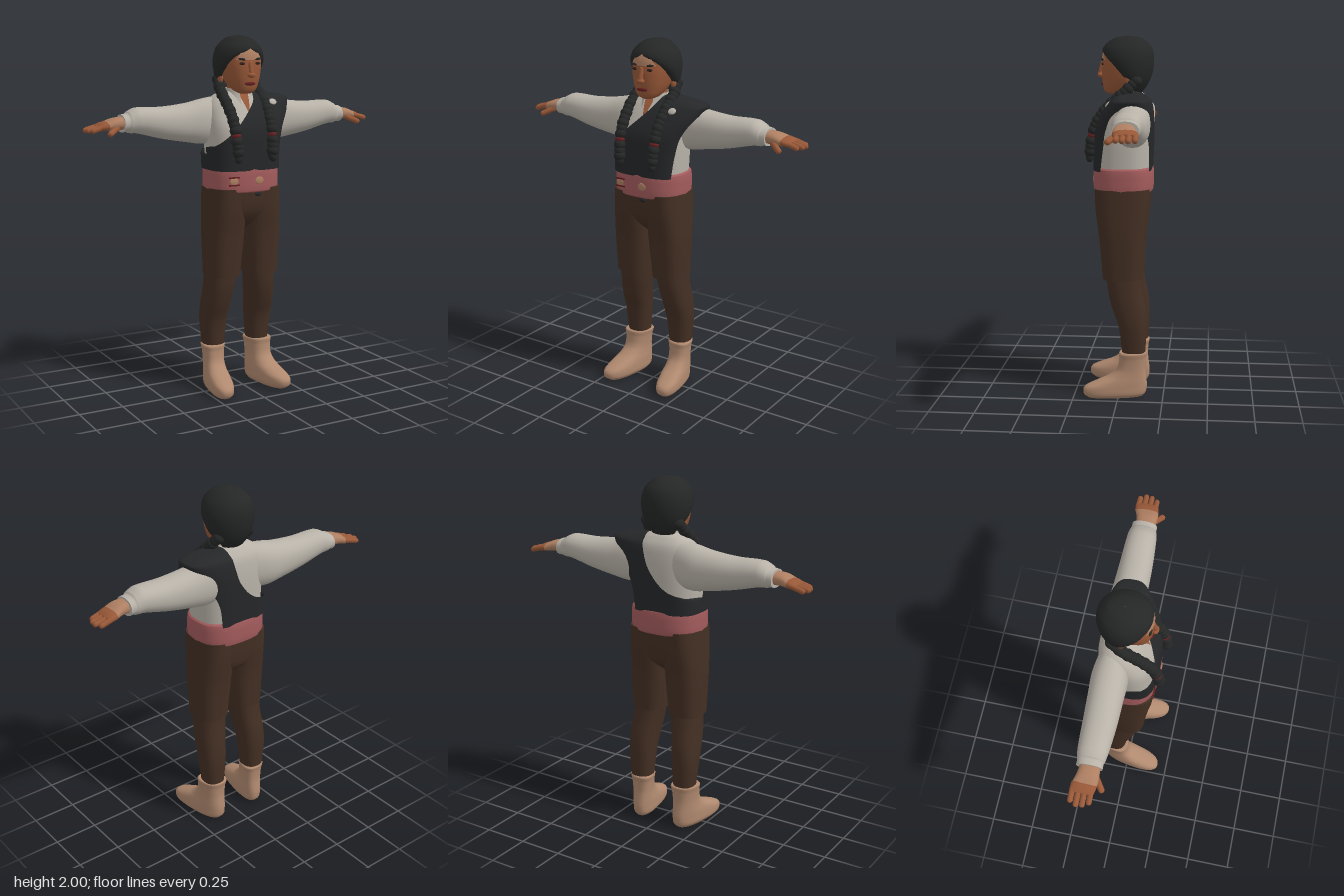
import * as THREE from 'three';

const mat = (name, color, side = THREE.FrontSide) => {
  const m = new THREE.MeshStandardMaterial({ color, side });
  m.name = name;
  return m;
};

// smooth interpolation of key rows [t, a, b, ...]
function at(K, t) {
  let i = 0;
  while (i < K.length - 2 && t > K[i + 1][0]) i++;
  const a = K[i], b = K[i + 1], h = b[0] - a[0];
  const s = Math.min(1, Math.max(0, (t - a[0]) / h));
  const p = K[i - 1] || a, q = K[i + 2] || b;
  return a.map((_, k) => {
    const m0 = h * (b[k] - p[k]) / (b[0] - p[0]), m1 = h * (q[k] - a[k]) / (q[0] - a[0]);
    const s2 = s * s, s3 = s2 * s;
    return (2 * s3 - 3 * s2 + 1) * a[k] + (s3 - 2 * s2 + s) * m0 + (3 * s2 - 2 * s3) * b[k] + (s3 - s2) * m1;
  });
}

// grid surface; u runs around, v runs upward
function grid(nu, nv, fn, closed = false, caps = false) {
  const pos = [], idx = [], cols = closed ? nu : nu + 1;
  for (let j = 0; j <= nv; j++) for (let i = 0; i < cols; i++) pos.push(...fn(i / nu, j / nv));
  for (let j = 0; j < nv; j++) for (let i = 0; i < nu; i++) {
    const k = (i + 1) % cols, a = j * cols + i, b = j * cols + k;
    idx.push(a, b, b + cols, a, b + cols, a + cols);
  }
  if (caps) for (const j of [0, nv]) {
    const s = pos.length / 3, c = [0, 0, 0];
    for (let i = 0; i < cols; i++) {
      const p = fn(i / nu, j / nv);
      pos.push(...p);
      p.forEach((v, k) => { c[k] += v / cols; });
    }
    pos.push(...c);
    for (let i = 0; i < cols; i++) {
      const k = (i + 1) % cols;
      if (j) idx.push(s + i, s + k, s + cols); else idx.push(s + k, s + i, s + cols);
    }
  }
  const g = new THREE.BufferGeometry();
  g.setAttribute('position', new THREE.Float32BufferAttribute(pos, 3));
  g.setIndex(idx);
  g.computeVertexNormals();
  return g;
}

const rowAt = (K, v) => {
  const f = v * (K.length - 1), i = Math.min(K.length - 2, Math.floor(f));
  return at(K, K[i][0] + (K[i + 1][0] - K[i][0]) * (f - i));
};
const pw = (v, e) => Math.sign(v) * Math.abs(v) ** e;

// closed loft, rows [y, centre x, half width, front z, back z]
const loft = (K, p = 2.4, n = 36) => grid(n, (K.length - 1) * 5, (u, v) => {
  const [y, cx, w, F, B] = rowAt(K, v), a = u * Math.PI * 2;
  return [cx + w * pw(Math.sin(a), 2 / p), y, (F + B) / 2 + (F - B) / 2 * pw(Math.cos(a), 2 / p)];
}, true, true);

// cloth panel on the front (side 1) or back (side -1) of a body profile
const panel = (K, p, side, y0, y1, left, right, off = 0) => grid(28, 44, (u, v) => {
  const y = y0 + (y1 - y0) * (1 - (1 - v) ** 1.5);
  let [, , W, F, B] = at(K, y);
  W += off;
  const s = (1 - Math.cos(Math.PI * (side > 0 ? u : 1 - u))) / 2;
  const lim = (k) => Math.max(-W, Math.min(W, at(k, y)[1]));
  const x = THREE.MathUtils.lerp(lim(left), lim(right), s);
  const d = Math.max(0, 1 - Math.abs(x / W) ** p) ** (1 / p);
  return [x, y, (F + B) / 2 + side * ((F - B) / 2 + off) * d];
});

function mirror(geo) {
  const g = geo.clone().scale(-1, 1, 1), a = g.index.array;
  for (let i = 0; i < a.length; i += 3) [a[i], a[i + 1]] = [a[i + 1], a[i]];
  return g;
}

export function createModel() {
  const D = THREE.DoubleSide;
  const hair = mat('black hair', 0x252626, D), vestM = mat('black vest', 0x262729, D);
  const skin = mat('brown skin', 0x985838), pale = mat('light skin', 0xae7f62);
  const white = mat('off white shirt', 0xb8b2a8, D), pink = mat('pink sash', 0xa35b5c);
  const brown = mat('brown trousers', 0x432f23), boot = mat('tan boots', 0xb0896f);
  const red = mat('dark red', 0x642022), dark = mat('dark features', 0x30201c);

  const model = new THREE.Group(), body = new THREE.Group();
  body.name = 'body';
  body.position.x = -0.01;
  model.add(body);
  const add = (name, g, m) => {
    const o = new THREE.Mesh(g, m);
    o.name = name;
    body.add(o);
    return o;
  };
  const pair = (name, g, m) => { add(name + 'Left', g, m); add(name + 'Right', mirror(g), m); };
  const ball = (x, y, z, a, b, c, rx = 0, rz = 0) =>
    new THREE.SphereGeometry(1, 20, 14).scale(a, b, c).rotateZ(rz).rotateX(rx).translate(x, y, z);
  const rod = (a, b, r) => {
    const A = new THREE.Vector3(...a), d = new THREE.Vector3(...b).sub(A);
    const q = new THREE.Quaternion().setFromUnitVectors(new THREE.Vector3(0, 1, 0), d.clone().normalize());
    const c = A.addScaledVector(d, 0.5);
    return new THREE.CapsuleGeometry(r, d.length(), 6, 12).applyQuaternion(q).translate(c.x, c.y, c.z);
  };

  // boots, toes turned outward
  const bootG = loft([[0, .145, .052, .17, -.135], [.02, .145, .066, .193, -.152], [.06, .145, .068, .188, -.158],
    [.09, .145, .066, .125, -.156], [.12, .145, .062, .055, -.152], [.16, .145, .06, .01, -.148],
    [.22, .145, .064, -.004, -.151], [.25, .145, .07, -.003, -.157], [.257, .145, .066, -.008, -.152]], 2.5);
  const bp = bootG.attributes.position;
  for (let i = 0; i < bp.count; i++) bp.setX(i, bp.getX(i) + .16 * (bp.getZ(i) + .08));
  bootG.computeVertexNormals();
  pair('boot', bootG, boot);

  // legs and trousers
  pair('lowerLeg', loft([[.24, .143, .06, -.02, -.148], [.4, .144, .074, 0, -.156], [.5, .139, .078, .035, -.15],
    [.6, .129, .082, .06, -.132], [.7, .12, .085, .07, -.12]]), brown);
  pair('trouserLeg', loft([[.67, .12, .094, .09, -.125], [.9, .113, .107, .11, -.14],
    [1.05, .107, .106, .13, -.16], [1.17, .103, .104, .136, -.167]], 2.7), brown);
  add('hips', loft([[.92, 0, .03, .02, -.07], [.98, 0, .13, .09, -.14], [1.05, 0, .2, .128, -.16],
    [1.17, 0, .207, .14, -.17]], 2.6), brown);

  // sash with small patches
  add('sash', loft([[1.148, 0, .196, .138, -.17], [1.156, 0, .206, .147, -.18], [1.215, 0, .209, .15, -.184],
    [1.278, 0, .206, .147, -.18], [1.287, 0, .196, .138, -.17]], 2.6), pink);
  add('sashPatch', ball(.03, 1.215, .149, .026, .022, .005), pale);
  add('sashPatchSide', ball(-.115, 1.215, .136, .03, .022, .006).rotateY(0), pale);
  for (const y of [1.195, 1.237]) add('sashStitch', new THREE.BoxGeometry(.08, .008, .008).translate(-.11, y, .139), red);
  add('sashKnot', ball(.03, 1.137, .138, .02, .012, .008), vestM);

  // shirt
  const shirtK = [[1.27, 0, .195, .138, -.168], [1.4, 0, .2, .134, -.172], [1.5, 0, .2, .125, -.174],
    [1.58, 0, .195, .085, -.17], [1.64, 0, .175, .048, -.158], [1.68, 0, .125, .015, -.13], [1.7, 0, .07, 0, -.105]];
  add('shirt', loft(shirtK, 2.5), white);
  add('neckOpening', panel(shirtK, 2.5, 1, 1.58, 1.68, [[1.58, -.002], [1.68, -.03]], [[1.58, .002], [1.68, .03]], .005), skin);
  const collarK = [[1.63, 0, .092, .062, -.13], [1.67, 0, .08, .042, -.118], [1.712, 0, .074, .03, -.112]];
  add('collar', grid(30, 10, (u, v) => {
    const [y, , w, F, B] = rowAt(collarK, v), a = THREE.MathUtils.lerp(.35, Math.PI * 2 - .35, u);
    return [w * Math.sin(a), y, (F + B) / 2 + (F - B) / 2 * Math.cos(a)];
  }), white);

  // sleeves and hands, rows [x, centre y, half height, front z, back z]
  const arm = (K, p) => loft(K.map(([x, cy, ...r]) => [x, -cy, ...r]), p, 28).rotateZ(-Math.PI / 2);
  pair('sleeve', arm([[.08, 1.55, .125, -.01, -.155], [.2, 1.532, .125, .015, -.175], [.3, 1.528, .108, .013, -.172],
    [.45, 1.534, .087, .01, -.165], [.6, 1.553, .069, .0, -.157], [.645, 1.545, .058, -.008, -.15],
    [.655, 1.543, .05, -.012, -.147], [.685, 1.54, .047, -.012, -.147]], 2.2), white);
  pair('palm', arm([[.66, 1.543, .036, -.025, -.125], [.73, 1.54, .032, -.02, -.135], [.775, 1.53, .025, -.022, -.15]], 2.3), pale);
  pair('knuckles', arm([[.77, 1.531, .0255, -.021, -.151], [.8, 1.526, .022, -.027, -.153], [.82, 1.521, .015, -.034, -.15]], 2.3), skin);
  [[-.139, .858], [-.108, .874], [-.077, .87], [-.046, .853]].forEach(([z, x]) =>
    pair('finger', rod([.8, 1.526, z], [x, 1.51, z], .0145), skin));
  pair('thumb', rod([.725, 1.52, -.035], [.775, 1.495, .0], .016), skin);

  // one-shouldered vest wrapping from the left shoulder to the right waist
  const vestK = [[1.27, 0, .207, .147, -.177], [1.4, 0, .214, .146, -.183], [1.5, 0, .236, .138, -.187],
    [1.58, 0, .28, .102, -.186], [1.64, 0, .302, .062, -.178], [1.66, 0, .3, .042, -.168],
    [1.675, 0, .24, .022, -.15], [1.688, 0, .15, .005, -.135], [1.7, 0, .085, -.01, -.115]];
  add('vestFront', panel(vestK, 3.2, 1, 1.27, 1.7, [[1.27, -.35], [1.41, -.2], [1.63, .03], [1.7, .07]],
    [[1.27, .185], [1.4, .2], [1.5, .225], [1.6, .285], [1.65, .32], [1.7, .32]]), vestM);
  add('vestBack', panel(vestK, 3.2, -1, 1.27, 1.7,
    [[1.27, -.4], [1.355, -.22], [1.4, -.08], [1.5, .02], [1.6, .06], [1.7, .08]],
    [[1.27, .13], [1.4, .15], [1.5, .2], [1.6, .285], [1.65, .32], [1.7, .32]]), vestM);
  add('brooch', ball(.165, 1.635, .058, .024, .02, .008, -.7), white);

  // neck and head
  add('neck', new THREE.CylinderGeometry(.058, .064, .16, 24).translate(0, 1.69, -.04), skin);
  const headK = [[1.685, 0, .03, .07, .0], [1.7, 0, .058, .09, -.03], [1.74, 0, .084, .1, -.09],
    [1.79, 0, .1, .105, -.125], [1.85, 0, .108, .104, -.14], [1.92, 0, .1, .088, -.14], [1.97, 0, .055, .035, -.1]];
  add('head', loft(headK, 2.3), skin);
  add('forehead', panel(headK, 2.3, 1, 1.868, 1.94, [[1.86, -.085], [1.94, -.03]], [[1.86, .085], [1.94, .03]], .004), pale);
  add('noseBridge', rod([0, 1.85, .1], [0, 1.795, .114], .013), skin);
  add('noseTip', ball(0, 1.787, .113, .024, .015, .018), skin);
  add('lips', ball(0, 1.74, .098, .034, .01, .009), red);
  pair('eye', ball(.045, 1.848, .095, .02, .008, .007), dark);
  pair('brow', ball(.046, 1.872, .096, .028, .006, .008, 0, .1), hair);
  pair('ear', ball(.108, 1.765, -.045, .014, .03, .02), skin);

  // hair shell, open around the face and parted in the middle
  const hairK = [[1.69, 0, .085, .02, -.115], [1.74, 0, .118, .07, -.15], [1.8, 0, .136, .095, -.174],
    [1.87, 0, .14, .108, -.182], [1.93, 0, .122, .1, -.172], [1.97, 0, .086, .064, -.14],
    [1.99, 0, .052, .022, -.105], [2, 0, .002, -.038, -.042]];
  const openK = [[1.69, 2.1], [1.74, 1.85], [1.77, 1.5], [1.82, 1.12], [1.86, .8], [1.9, .42], [1.93, 0], [2, 0]];
  add('hair', grid(48, 42, (u, v) => {
    const [y, , w, F, B] = rowAt(hairK, v), o = Math.max(0, at(openK, y)[1]);
    const a = THREE.MathUtils.lerp(o, Math.PI * 2 - o, u), e = Math.min(a - o, Math.PI * 2 - o - a);
    const r = 1 - .16 * Math.min(1, o) * Math.exp(-e / .15);
    return [r * w * Math.sin(a), y, (F + B) / 2 + r * (F - B) / 2 * Math.cos(a)];
  }), hair);

  // braids with ties
  const path = new THREE.CatmullRomCurve3([[.1, 1.76, -.09], [.115, 1.7, -.03], [.116, 1.62, .06], [.113, 1.53, .125],
    [.11, 1.43, .153], [.104, 1.345, .162]].map((p) => new THREE.Vector3(...p)));
  const N = 17;
  for (let i = 0; i <= N; i++) {
    const p = path.getPointAt(i / N), t = path.getTangentAt(i / N), tie = i === 13;
    const r = tie ? .027 : i === N ? .022 : .033 - .003 * (i % 2);
    const tilt = Math.atan2(t.z, -t.y);
    pair(tie ? 'braidTie' : 'braidKnot', ball(p.x, p.y, p.z, r, tie ? .018 : .03, r, -tilt, tie ? 0 : (i % 2 ? .35 : -.35)), tie ? red : hair);
  }
  return model;
}
